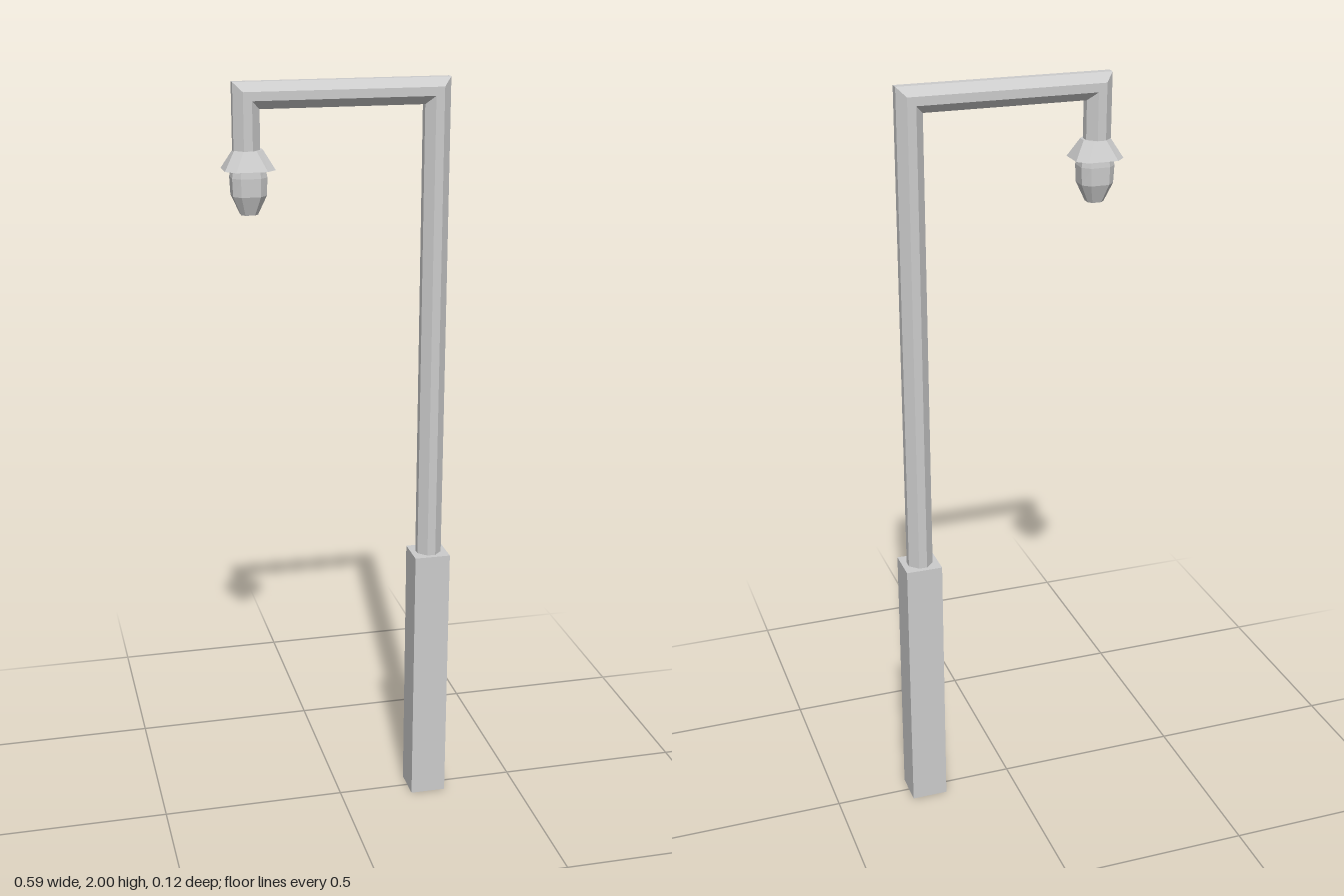
import * as THREE from 'three';

const material = new THREE.MeshStandardMaterial({ color: 0xcccccc, flatShading: true });

// Chamfered rectangle as [u, z] pairs: half sizes a, c and half lengths of the flats fa, fc
function octagon(a, c, fa, fc) {
  return [[a, fc], [a, -fc], [fa, -c], [-fa, -c], [-a, -fc], [-a, fc], [-fa, c], [fa, c]];
}

// Skin a list of rings (each an array of [x, y, z]) and cap both ends
function loft(name, rings) {
  const n = rings[0].length, index = [];
  for (let r = 0; r < rings.length - 1; r++) {
    for (let i = 0; i < n; i++) {
      const a = r * n + i, b = r * n + (i + 1) % n;
      index.push(a, b, b + n, a, b + n, a + n);
    }
  }
  const last = (rings.length - 1) * n;
  for (let i = 1; i < n - 1; i++) {
    index.push(0, i + 1, i, last, last + i, last + i + 1);
  }
  const indexed = new THREE.BufferGeometry();
  indexed.setAttribute('position', new THREE.Float32BufferAttribute(rings.flat(2), 3));
  indexed.setIndex(index);
  const geometry = indexed.toNonIndexed();
  geometry.computeVertexNormals();
  const mesh = new THREE.Mesh(geometry, material);
  mesh.name = name;
  return mesh;
}

export function createModel() {
  const group = new THREE.Group();
  group.name = 'streetLamp';

  const postX = 0.2465, dropX = -0.237, armY = 1.967, lampX = -0.233;

  // Square base
  const base = new THREE.Mesh(new THREE.BoxGeometry(0.097, 0.727, 0.094), material);
  base.name = 'base';
  base.position.set(postX, 0.3635, 0);
  group.add(base);

  // Post, arm and drop as one pipe with mitred corners
  const pipe = octagon(0.033, 0.033, 0.011, 0.011);
  group.add(loft('postAndArm', [
    pipe.map(([u, z]) => [postX + u, 0.72, z]),
    pipe.map(([u, z]) => [postX + u, armY + u, z]),
    pipe.map(([u, z]) => [dropX - u, armY + u, z]),
    pipe.map(([u, z]) => [dropX - u, 1.83, z]),
  ]));

  // Level rings around the lamp axis: [y, half x, half z, flat x, flat z]
  const lampRings = rows => rows.map(([y, ...s]) => octagon(...s).map(([u, z]) => [lampX + u, y, z]));

  // Flared hood
  group.add(loft('hood', lampRings([
    [1.789, 0.063, 0.058, 0.039, 0.033],
    [1.836, 0.036, 0.034, 0.016, 0.012],
  ])));

  // Tapered bulb
  group.add(loft('bulb', lampRings([
    [1.677, 0.021, 0.02, 0.012, 0.011],
    [1.725, 0.042, 0.039, 0.024, 0.021],
    [1.77, 0.044, 0.04, 0.025, 0.022],
    [1.792, 0.04, 0.037, 0.023, 0.02],
  ])));

  return group;
}
